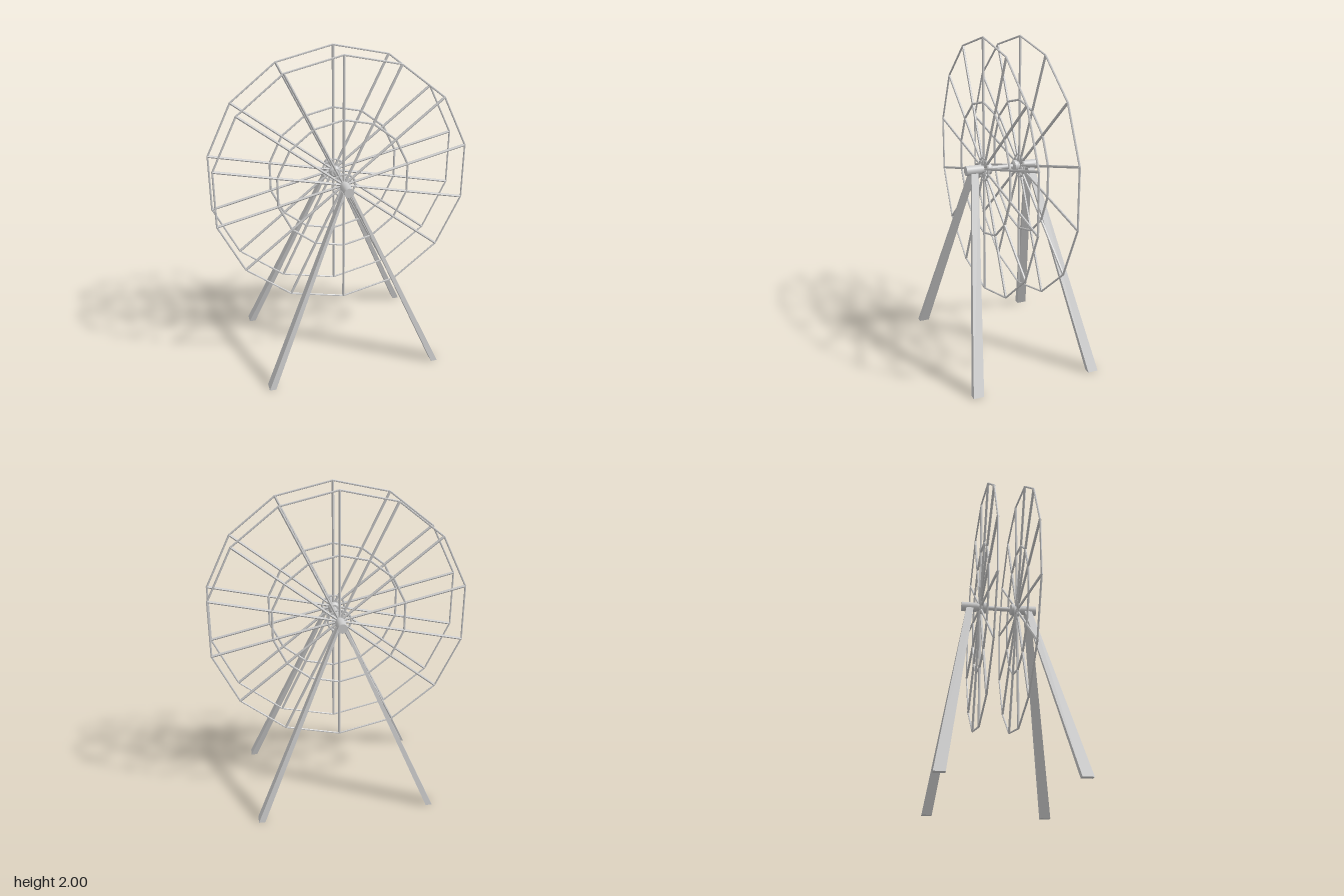
import * as THREE from 'three';
import { toCreasedNormals } from 'three/addons/utils/BufferGeometryUtils.js';

const steel = new THREE.MeshStandardMaterial({ color: 0xcccccc });
steel.name = 'light grey steel';
const HUB_Y = 1.206, RADIUS = 0.794, SPOKES = 14, WHEEL_Z = 0.118;

function add(parent, name, geometry) {
  const mesh = new THREE.Mesh(geometry, steel);
  mesh.name = name;
  parent.add(mesh);
  return mesh;
}

// Faceted rod ring in the wheel plane, with a corner at the top
function ring(parent, name, radius, tube, sides) {
  const g = new THREE.TorusGeometry(radius, tube, 6, sides);
  g.rotateZ(Math.PI / 2);
  add(parent, name, toCreasedNormals(g, 0.2));
}

// One wheel: spokes, inner ring, outer rim and hub ring
function makeWheel() {
  const wheel = new THREE.Group();
  const inner = 0.025, outer = RADIUS - 0.006;
  for (let i = 0; i < SPOKES; i++) {
    const g = new THREE.CylinderGeometry(0.008, 0.008, outer - inner, 6);
    g.translate(0, (inner + outer) / 2, 0);
    add(wheel, 'spoke', toCreasedNormals(g, 0.2)).rotation.z = (i * Math.PI * 2) / SPOKES;
  }
  ring(wheel, 'outerRim', RADIUS - 0.006, 0.006, SPOKES);
  ring(wheel, 'innerRing', 0.411, 0.007, SPOKES);
  ring(wheel, 'hubRing', 0.07, 0.007, SPOKES * 2);
  return wheel;
}

// Tapered leg: rectangular section at the foot, narrowing to the bearing
function makeLeg(sx, sz) {
  const g = new THREE.BoxGeometry(1, 1, 1);
  const p = g.attributes.position;
  for (let i = 0; i < p.count; i++) {
    const top = p.getY(i) > 0;
    const cx = top ? 0.02 : 0.535, cz = top ? 0.186 : 0.377;
    p.setXYZ(i,
      sx * cx + p.getX(i) * (top ? 0.015 : 0.04),
      top ? 1.19 : 0,
      sz * cz + p.getZ(i) * (top ? 0.045 : 0.064));
  }
  g.computeVertexNormals();
  return g;
}

// Cylinder lying along z
function drum(parent, name, r, z0, z1) {
  const g = new THREE.CylinderGeometry(r, r, Math.abs(z1 - z0), 20);
  g.rotateX(Math.PI / 2);
  add(parent, name, g).position.set(0, HUB_Y, (z0 + z1) / 2);
}

export function createModel() {
  const model = new THREE.Group();
  model.name = 'ferrisWheelFrame';
  drum(model, 'axle', 0.0145, -0.16, 0.16);

  // Chamfered collar profile shared by both sides
  const profile = [[0.012, -0.018], [0.025, -0.018], [0.036, -0.009],
    [0.036, 0.009], [0.025, 0.018], [0.012, 0.018]].map(([r, h]) => new THREE.Vector2(r, h));

  for (const s of [1, -1]) {
    const wheel = makeWheel();
    wheel.name = s > 0 ? 'frontWheel' : 'backWheel';
    wheel.position.set(0, HUB_Y, s * WHEEL_Z);
    model.add(wheel);

    const collar = new THREE.LatheGeometry(profile, 20);
    collar.rotateX(Math.PI / 2);
    add(model, 'collar', toCreasedNormals(collar, 0.5)).position.set(0, HUB_Y, s * 0.088);
    drum(model, 'spacer', 0.024, s * 0.105, s * 0.142);
    drum(model, 'bearing', 0.03, s * 0.14, s * 0.237);

    for (const side of [1, -1]) {
      add(model, (s > 0 ? 'front' : 'back') + (side > 0 ? 'LeftLeg' : 'RightLeg'), makeLeg(side, s));
    }
  }
  return model;
}
